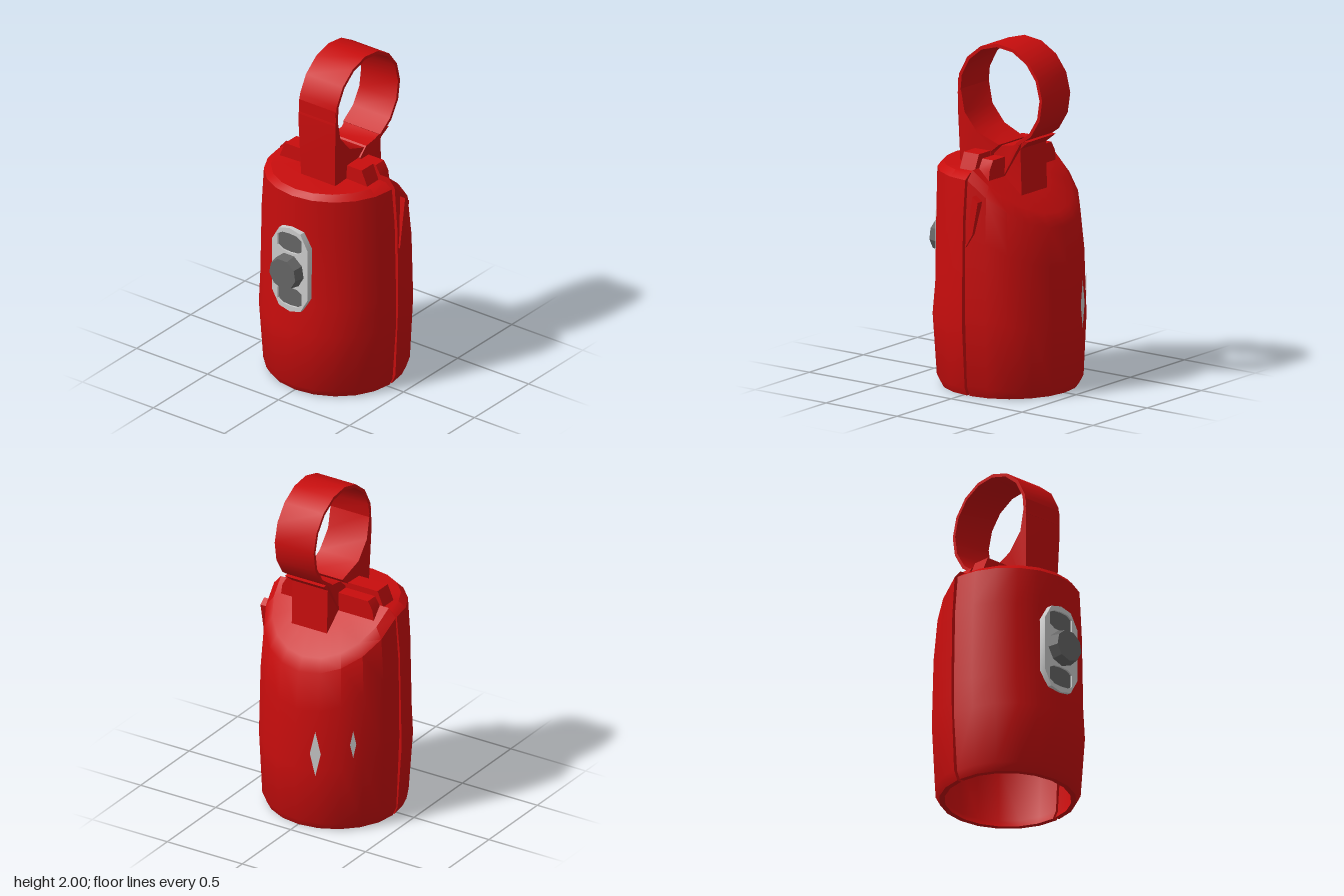
import * as THREE from 'three';
import { toCreasedNormals } from 'three/addons/utils/BufferGeometryUtils.js';

const mat = (color) => new THREE.MeshStandardMaterial({ color, side: THREE.DoubleSide });
const red = mat(0xc80d0d), grey = mat(0xcccccc), dark = mat(0x666666);

function add(parent, name, geometry, material, crease = 0.6) {
  const mesh = new THREE.Mesh(toCreasedNormals(geometry, crease), material);
  mesh.name = name;
  parent.add(mesh);
  return mesh;
}

const shapeOf = (pts) => new THREE.Shape(pts.map(([x, y]) => new THREE.Vector2(x, y)));
const extrude = (shape, depth) => new THREE.ExtrudeGeometry(shape, { depth, bevelEnabled: false });

// Hollow half barrel: rows are [fraction of roof height, radius in x, radius in z]
function halfShell(side, x0, roof, rows) {
  const segs = 10, wall = 0.03;
  const last = rows.length - 1;
  const inner = rows.map(([f, kx, kz], i) =>
    [i === last ? f : f * 0.97, Math.max(0, kx - wall), Math.max(0, kz - wall)]);
  const profile = [...rows, ...inner.reverse()];
  const n = profile.length, pos = [], index = [];
  for (const [f, kx, kz] of profile) {
    for (let j = 0; j <= segs; j++) {
      const t = (j / segs - 0.5) * Math.PI;
      const x = x0 + side * kx * Math.cos(t);
      pos.push(x, f * roof(x), kz * Math.sin(t));
    }
  }
  const id = (i, j) => i * (segs + 1) + j;
  const quad = (a, b, c, d, flip) =>
    flip ? index.push(a, c, b, b, c, d) : index.push(a, b, c, b, d, c);
  for (let i = 0; i < n - 1; i++) {
    for (let j = 0; j < segs; j++) {
      quad(id(i, j), id(i, j + 1), id(i + 1, j), id(i + 1, j + 1), side < 0);
    }
  }
  // Flat edges along the split
  for (let i = 0; i < last; i++) {
    for (const j of [0, segs]) {
      quad(id(i, j), id(n - 1 - i, j), id(i + 1, j), id(n - 2 - i, j), (j === 0) === (side > 0));
    }
  }
  const g = new THREE.BufferGeometry();
  g.setAttribute('position', new THREE.Float32BufferAttribute(pos, 3));
  g.setIndex(index);
  return g;
}

export function createModel() {
  const model = new THREE.Group();
  model.name = 'clampHousing';

  // Two barrel halves with a narrow split; the left one has a slanted roof
  const body = new THREE.Group();
  body.name = 'body';
  model.add(body);
  add(body, 'rightHalf', halfShell(-1, 0.023, () => 1.285, [
    [1, 0, 0], [1, 0.2, 0.2], [0.995, 0.37, 0.355], [0.97, 0.398, 0.4], [0.8, 0.395, 0.42],
    [0.45, 0.4, 0.43], [0.31, 0.423, 0.43], [0.035, 0.4, 0.405], [0, 0.37, 0.385],
  ]), red);
  add(body, 'leftHalf', halfShell(1, 0.043, (x) => 1.3 - 0.8 * (x - 0.043), [
    [1, 0, 0], [1, 0.17, 0.19], [1, 0.33, 0.36], [0.96, 0.375, 0.405], [0.75, 0.4, 0.425],
    [0.39, 0.417, 0.43], [0.045, 0.402, 0.41], [0, 0.377, 0.385],
  ]), red);

  // Raised ridges either side of the split
  const ridge = (name, x, width, top, base) => {
    const g = extrude(shapeOf([[-0.32, base], [0.32, base], [0.3, 1.3], [0.27, top], [-0.27, top], [-0.3, 1.3]]), width);
    g.rotateY(Math.PI / 2);
    g.translate(x, 0, 0);
    add(body, name, g, red);
  };
  ridge('rightRidge', -0.085, 0.105, 1.37, 1.25);
  ridge('leftRidge', 0.045, 0.075, 1.35, 1.17);

  // Small raised flap beside the split on the front
  const flap = extrude(shapeOf([[0.052, 0.87], [0.1, 0.95], [0.138, 1.14], [0.1, 1.17]]), 0.04);
  flap.translate(0, 0, 0.395);
  add(body, 'frontFlap', flap, red);

  // Clamp ring: a thin faceted band, open at the bottom
  const ring = new THREE.Group();
  ring.name = 'clampRing';
  model.add(ring);
  const cx = 0.095, cy = 1.7;
  const arc = (r, from, to, steps) => Array.from({ length: steps + 1 }, (_, i) => {
    const a = THREE.MathUtils.degToRad(from + (to - from) * i / steps);
    return [cx + r * Math.cos(a), cy + r * Math.sin(a)];
  });
  const band = extrude(shapeOf([...arc(0.299, -66, 186, 11), ...arc(0.28, 186, -66, 11)]), 0.26);
  band.translate(0, 0, -0.085);
  add(ring, 'ringBand', band, red);

  // Necks joining the ring to each half
  const necks = {
    rightNeck: [[-0.19, 1.22], [0.022, 1.22], [0.022, 1.365], [0.08, 1.412], [-0.07, 1.47],
      [-0.155, 1.57], [-0.185, 1.72], [-0.2, 1.76], [-0.202, 1.6]],
    leftNeck: [[0.045, 1.12], [0.24, 1.1], [0.23, 1.41], [0.29, 1.46], [0.25, 1.465],
      [0.18, 1.425], [0.1, 1.413], [0.045, 1.36]],
  };
  for (const [name, pts] of Object.entries(necks)) {
    const g = extrude(shapeOf(pts), 0.235);
    // Widen to the band's depth towards the top
    const p = g.attributes.position;
    for (let i = 0; i < p.count; i++) {
      const grow = p.getY(i) > 1.43 ? 1.1 : 1;
      p.setZ(i, 0.044 + (p.getZ(i) - 0.1175) * grow);
    }
    add(ring, name, g, red);
  }

  // Side plate with two openings, hub and knob
  const control = new THREE.Group();
  control.name = 'sideControl';
  control.position.set(-0.35, 0.785, 0);
  control.rotation.y = -Math.PI / 2;
  model.add(control);
  const oval = (w, h, y = 0) => [[-w, -h * 0.6], [-w * 0.6, -h * 0.93], [0, -h], [w * 0.6, -h * 0.93], [w, -h * 0.6],
    [w, h * 0.6], [w * 0.6, h * 0.93], [0, h], [-w * 0.6, h * 0.93], [-w, h * 0.6]].map(([x, v]) => [x, v + y]);
  const plate = shapeOf(oval(0.125, 0.265));
  for (const s of [-1, 1]) {
    plate.holes.push(new THREE.Path(oval(0.085, 0.06, s * 0.17).map(([x, y]) => new THREE.Vector2(x, y))));
  }
  add(control, 'plate', extrude(plate, 0.047), grey);
  add(control, 'plateBacking', extrude(shapeOf(oval(0.11, 0.25)), 0.036), dark);
  const disc = (name, rOuter, rInner, from, to, material) => {
    const g = new THREE.CylinderGeometry(rOuter, rInner, to - from, 9);
    g.rotateX(Math.PI / 2);
    g.translate(0, 0, (from + to) / 2);
    add(control, name, g, material, 0.3);
  };
  disc('hub', 0.085, 0.09, 0.03, 0.056, grey);
  disc('knob', 0.093, 0.105, 0.053, 0.115, dark);

  // Slim diamond insets on the left wall
  for (const [z, y, w, h] of [[-0.13, 0.49, 0.032, 0.14], [-0.31, 0.55, 0.018, 0.085]]) {
    const g = new THREE.CircleGeometry(1, 4);
    g.scale(w, h, 1);
    const a = Math.asin(z / 0.425);
    g.rotateY(Math.PI / 2 - a);
    g.translate(0.045 + 0.422 * Math.cos(a), y, z);
    add(body, 'sideInset', g, grey);
  }
  return model;
}
